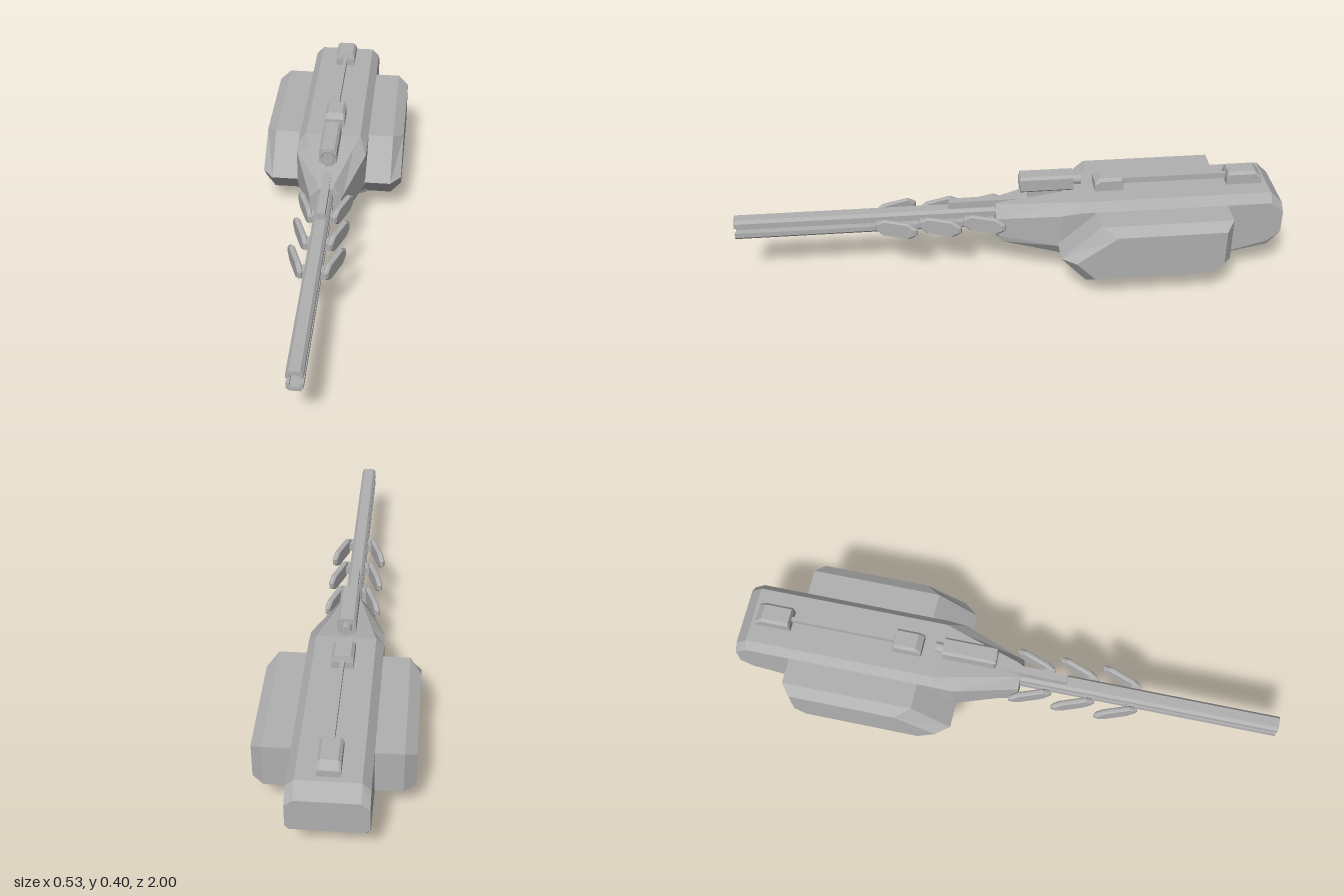
import * as THREE from 'three';

const grey = new THREE.MeshStandardMaterial({ color: 0xb0b0b0 });
grey.name = 'grey metal';

// Skin between equal-length rings of [x, y, z] corners, with flat end caps.
function loft(rings) {
  const pos = [];
  const n = rings[0].length;
  const tri = (a, b, c) => pos.push(...a, ...b, ...c);
  for (let i = 0; i + 1 < rings.length; i++) {
    for (let j = 0; j < n; j++) {
      const k = (j + 1) % n, r = rings[i], s = rings[i + 1];
      tri(r[j], r[k], s[k]);
      tri(r[j], s[k], s[j]);
    }
  }
  const first = rings[0], last = rings[rings.length - 1];
  for (let j = 1; j + 1 < n; j++) {
    tri(first[0], first[j + 1], first[j]);
    tri(last[0], last[j], last[j + 1]);
  }
  // Turn the corners round if the solid came out inside out.
  let volume = 0;
  const a = new THREE.Vector3(), b = new THREE.Vector3(), c = new THREE.Vector3();
  for (let i = 0; i < pos.length; i += 9) {
    volume += a.fromArray(pos, i).dot(b.fromArray(pos, i + 3).cross(c.fromArray(pos, i + 6)));
  }
  if (volume < 0) {
    for (let i = 0; i < pos.length; i += 9) {
      for (let k = 0; k < 3; k++) [pos[i + 3 + k], pos[i + 6 + k]] = [pos[i + 6 + k], pos[i + 3 + k]];
    }
  }
  const g = new THREE.BufferGeometry();
  g.setAttribute('position', new THREE.Float32BufferAttribute(pos, 3));
  g.computeVertexNormals();
  return g;
}

// Rectangle ring with cut corners in the xy plane.
function cutRect(w, y0, y1, c, z) {
  return [[w - c, y0, z], [w, y0 + c, z], [w, y1 - c, z], [w - c, y1, z],
    [c - w, y1, z], [-w, y1 - c, z], [-w, y0 + c, z], [c - w, y0, z]];
}

export function createModel() {
  const model = new THREE.Group();
  const add = (name, geometry, x = 0, y = 0, z = 0, parent = model) => {
    const m = new THREE.Mesh(geometry, grey);
    m.name = name;
    m.position.set(x, y, z);
    parent.add(m);
    return m;
  };
  const box = (name, w, y0, y1, z0, z1, x = 0) =>
    add(name, new THREE.BoxGeometry(w * 2, y1 - y0, Math.abs(z1 - z0)), x, (y0 + y1) / 2, (z0 + z1) / 2);

  // Hull: z, bottom, low side, high side, top, then half widths of bottom, side, top
  const hull = [
    [0.05, 0.172, 0.182, 0.25, 0.29, 0.05, 0.058, 0.022],
    [0.03, 0.152, 0.176, 0.253, 0.296, 0.06, 0.064, 0.03],
    [-0.18, 0.116, 0.165, 0.295, 0.325, 0.1, 0.131, 0.085],
    [-0.25, 0.08, 0.1, 0.305, 0.335, 0.133, 0.133, 0.105],
    [-0.72, 0.08, 0.1, 0.305, 0.335, 0.133, 0.133, 0.105],
    [-0.955, 0.12, 0.14, 0.305, 0.335, 0.125, 0.133, 0.105],
    [-1, 0.165, 0.18, 0.265, 0.29, 0.12, 0.133, 0.105],
  ].map(([z, b, l, h, t, wb, w, wt]) => [
    [wb, b, z], [w, l, z], [w, h, z], [wt, t, z], [-wt, t, z], [-w, h, z], [-w, l, z], [-wb, b, z]]);
  add('hull', loft(hull));

  // Side pods, from z-y profiles with a bevelled outer face
  const inner = [[-0.17, 0.178], [-0.31, 0.305], [-0.79, 0.305], [-0.79, 0.14], [-0.73, 0.08], [-0.26, 0.08]];
  const outer = [[-0.22, 0.178], [-0.365, 0.28], [-0.76, 0.28], [-0.76, 0.147], [-0.72, 0.107], [-0.29, 0.107]];
  for (const s of [1, -1]) {
    const ring = (x, p) => p.map(([z, y]) => [s * x, y, z]);
    add(s > 0 ? 'leftPod' : 'rightPod', loft([ring(0.12, inner), ring(0.228, inner), ring(0.267, outer)]));
  }

  // Twin barrel rails: channels whose open sides face each other
  const channel = new THREE.Shape([[-0.028, 0], [-0.028, 0.018], [-0.018, 0.029], [0.018, 0.029],
    [0.028, 0.018], [0.028, 0], [0.016, 0], [0.016, 0.013], [-0.016, 0.013], [-0.016, 0]]
    .map(p => new THREE.Vector2(...p)));
  for (const s of [1, -1]) {
    const g = new THREE.ExtrudeGeometry(channel, { depth: 1, bevelEnabled: false });
    if (s < 0) g.rotateZ(Math.PI);
    add(s > 0 ? 'upperRail' : 'lowerRail', g, 0, 0.237 + s * 0.011, 0);
  }

  // Fin along the top of the barrel root
  add('topFin', loft([
    [[0.015, 0.27, 0.22], [0.015, 0.303, 0.22], [-0.015, 0.303, 0.22], [-0.015, 0.27, 0.22]],
    [[0.015, 0.27, -0.06], [0.015, 0.306, -0.06], [-0.015, 0.306, -0.06], [-0.015, 0.27, -0.06]],
  ]));

  // Three pairs of splayed vanes with bevelled faces
  const vaneRing = (x, k) => [[0.08, 0.012], [0.05, 0.032], [-0.05, 0.032], [-0.08, 0.012],
    [-0.08, -0.012], [-0.05, -0.032], [0.05, -0.032], [0.08, -0.012]].map(([z, y]) => [x, y * k, z * k]);
  const vane = loft([vaneRing(-0.01, 0.88), vaneRing(-0.004, 1), vaneRing(0.004, 1), vaneRing(0.01, 0.88)]);
  for (const s of [1, -1]) {
    for (let i = 0; i < 3; i++) {
      const z = 0.095 + i * 0.16;
      add('vane', vane, s * 0.068, 0.236, z).rotation.y = -s * 0.35;
      box('vaneMount', 0.012, 0.22, 0.252, z + 0.035, z + 0.072, s * 0.036);
    }
  }

  // Sight: bevelled body on a foot, with a front lens and a rear eyepiece
  add('sightBody', loft([cutRect(0.033, 0.339, 0.402, 0.009, -0.042), cutRect(0.033, 0.339, 0.402, 0.009, -0.235)]));
  box('sightFoot', 0.015, 0.30, 0.342, -0.2, -0.07);
  const tube = (name, r, z, len) =>
    add(name, new THREE.CylinderGeometry(r, r, len, 20).rotateX(Math.PI / 2), 0, 0.371, z);
  add('lensRing', new THREE.TorusGeometry(0.024, 0.004, 6, 24), 0, 0.371, -0.042);
  tube('lens', 0.02, -0.042, 0.004);
  tube('eyepiece', 0.018, -0.25, 0.03);

  // Spine rod between two end blocks
  box('spineRod', 0.007, 0.345, 0.367, -0.83, -0.4);
  const block = (name, za, zb, zc, zd) => add(name, loft([
    cutRect(0.038, 0.325, 0.365, 0.006, za), cutRect(0.038, 0.325, 0.384, 0.01, zb),
    cutRect(0.038, 0.325, 0.384, 0.01, zc), cutRect(0.038, 0.325, 0.36, 0.006, zd)]));
  block('frontBlock', -0.315, -0.335, -0.415, -0.42);
  block('rearBlock', -0.805, -0.81, -0.91, -0.935);

  // Belly mount: stepped plates with four tapered claws round an open middle
  const belly = -0.495;
  box('mountPlate', 0.07, 0.045, 0.09, belly - 0.07, belly + 0.07);
  box('mountBar', 0.035, 0.055, 0.09, belly - 0.125, belly + 0.125);
  for (let i = 0; i < 4; i++) {
    const claw = new THREE.Group();
    claw.name = 'mountClaw';
    claw.position.set(0, 0, belly);
    claw.rotation.y = i * Math.PI / 2;
    model.add(claw);
    const ring = (y, w, z0, z1) => [[w, y, z0], [w, y, z1], [-w, y, z1], [-w, y, z0]];
    add('claw', loft([ring(0.06, 0.03, 0.03, 0.05), ring(0.02, 0.028, 0.03, 0.05), ring(0, 0.018, 0.024, 0.036)]), 0, 0, 0, claw);
  }
  return model;
}
